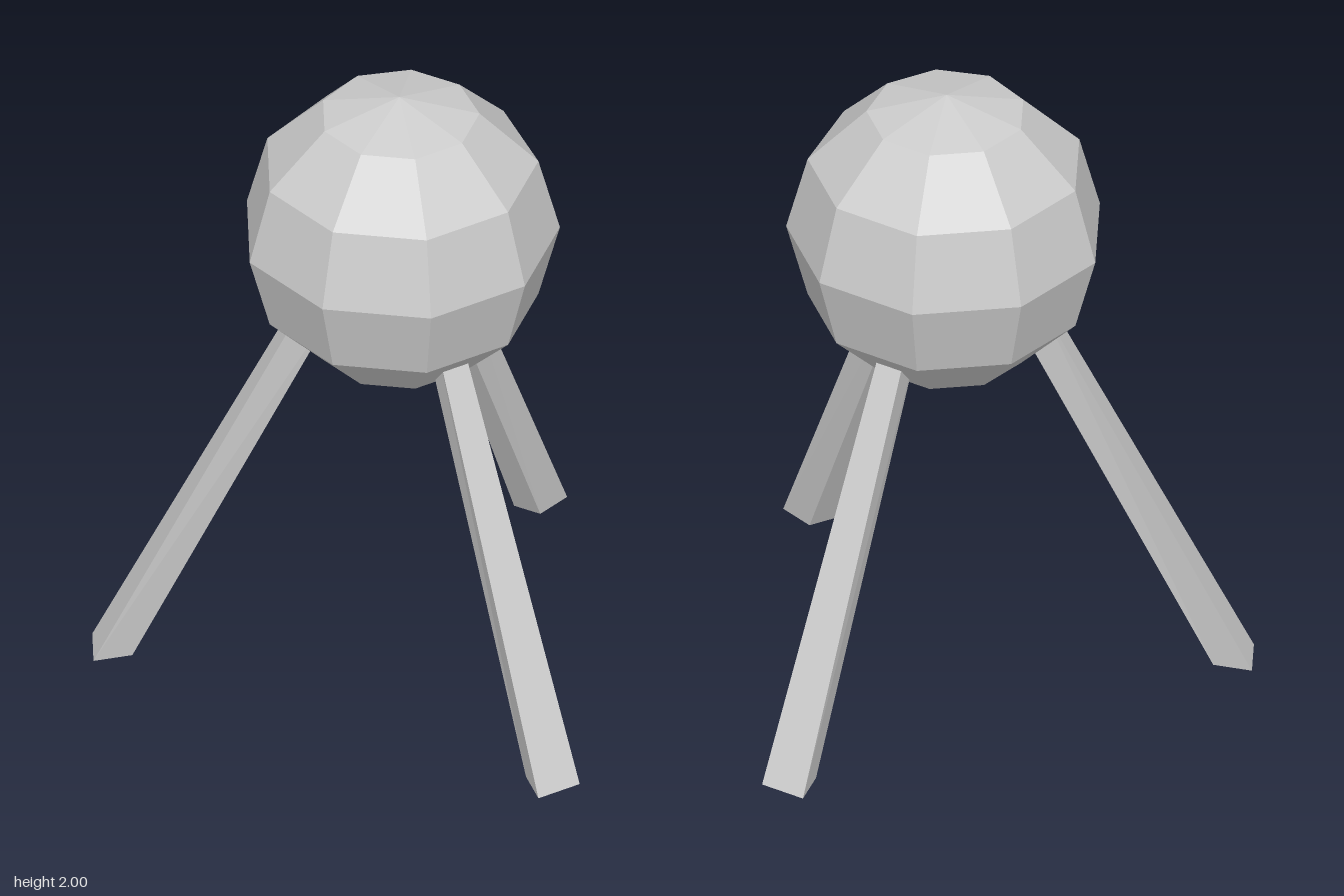
import * as THREE from 'three';

const material = new THREE.MeshStandardMaterial({ color: 0xcccccc, flatShading: true });

// Splayed leg: a tapering trapezoid section, wider on the outer side (+z).
function legGeometry() {
  const height = 1.3;
  const geometry = new THREE.BoxGeometry(1, 1, 1);
  const p = geometry.attributes.position;
  for (let i = 0; i < p.count; i++) {
    const t = p.getY(i) + 0.5;
    const outer = p.getZ(i) > 0;
    const halfWidth = outer ? THREE.MathUtils.lerp(0.073, 0.042, t) : THREE.MathUtils.lerp(0.045, 0.026, t);
    const radius = outer ? THREE.MathUtils.lerp(0.925, 0.276, t) : THREE.MathUtils.lerp(0.807, 0.168, t);
    p.setXYZ(i, Math.sign(p.getX(i)) * halfWidth, t * height, radius);
  }
  geometry.computeVertexNormals();
  return geometry;
}

export function createModel() {
  const model = new THREE.Group();
  model.name = 'tripodSphere';

  // Faceted ball with nine sides, one corner facing the front
  const ball = new THREE.Mesh(new THREE.SphereGeometry(0.485, 9, 6, Math.PI / 2), material);
  ball.name = 'ball';
  ball.position.set(0, 1.515, 0.198);
  model.add(ball);

  // Three legs spread evenly around the ball's axis
  const geometry = legGeometry();
  const angles = { leftLeg: Math.PI / 3, rightLeg: -Math.PI / 3, backLeg: Math.PI };
  for (const [name, angle] of Object.entries(angles)) {
    const leg = new THREE.Mesh(geometry, material);
    leg.name = name;
    leg.position.z = 0.198;
    leg.rotation.y = angle;
    model.add(leg);
  }
  return model;
}
